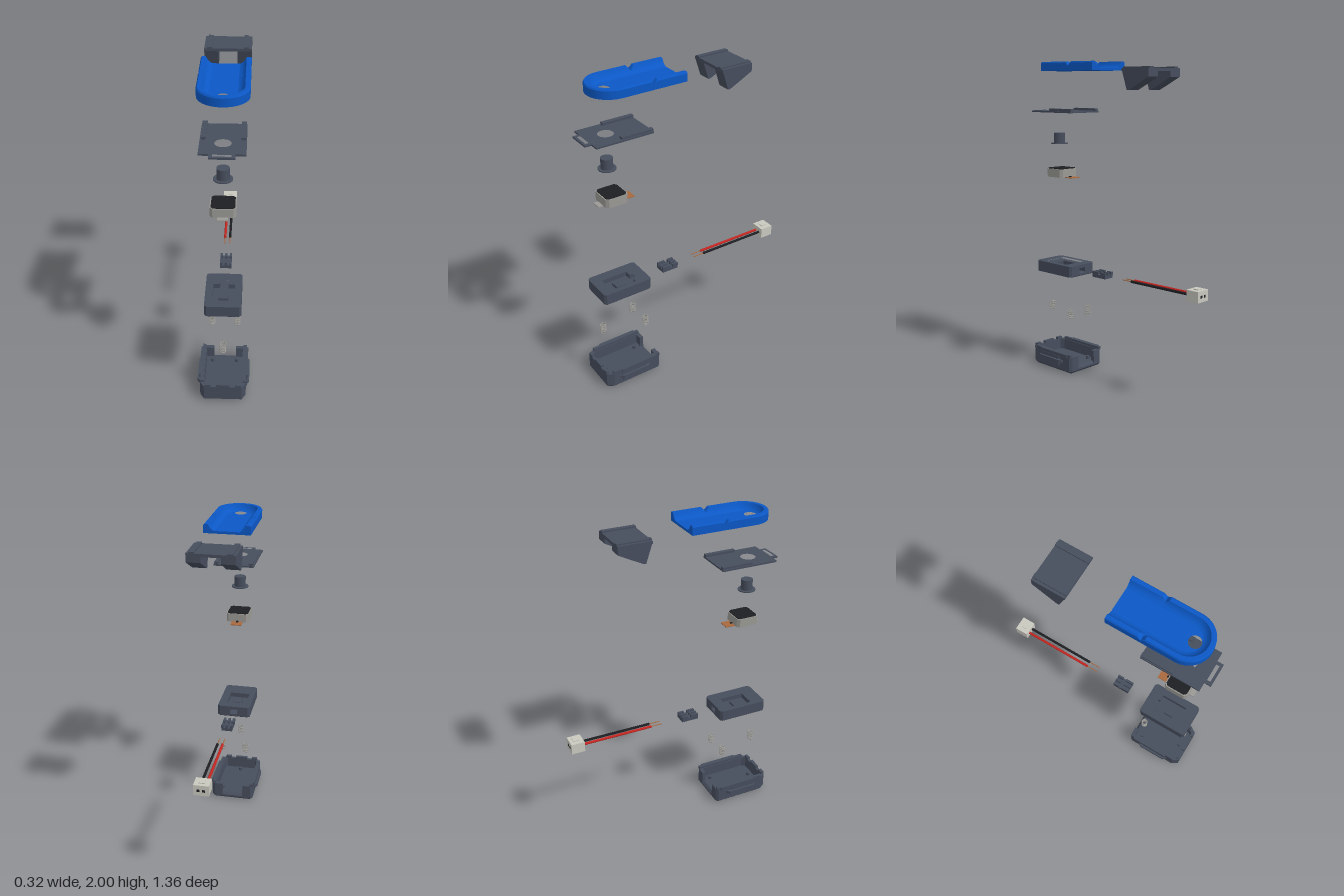
import * as THREE from 'three';
import { toCreasedNormals } from 'three/addons/utils/BufferGeometryUtils.js';

const paint = (name, color) => {
  const m = new THREE.MeshStandardMaterial({ color });
  m.name = name;
  return m;
};

export function createModel() {
  const root = new THREE.Group();
  root.name = 'explodedDevice';
  const blue = paint('blue', 0x0b58c6), dark = paint('slateGrey', 0x464d5c);
  const black = paint('black', 0x1d1e22), grey = paint('metalGrey', 0x9a9994);
  const cream = paint('cream', 0xc9c8bf), red = paint('red', 0xc4241f);
  const copper = paint('copper', 0xa8693f);

  const group = (name) => {
    const g = new THREE.Group();
    g.name = name;
    root.add(g);
    return g;
  };
  const add = (g, name, geo, mat) => {
    const m = new THREE.Mesh(geo, mat);
    m.name = name;
    g.add(m);
    return m;
  };
  // Box given by its minimum and maximum on each axis
  const box = (g, name, mat, x0, x1, y0, y1, z0, z1) =>
    add(g, name, new THREE.BoxGeometry(x1 - x0, y1 - y0, z1 - z0), mat)
      .position.set((x0 + x1) / 2, (y0 + y1) / 2, (z0 + z1) / 2);
  const cyl = (g, name, mat, r, y0, y1, x, z, n = 32) =>
    add(g, name, new THREE.CylinderGeometry(r, r, y1 - y0, n), mat).position.set(x, (y0 + y1) / 2, z);
  const rod = (g, name, mat, r, x, y, z0, z1) => {
    const geo = new THREE.CylinderGeometry(r, r, z1 - z0, 14).rotateX(Math.PI / 2);
    add(g, name, geo, mat).position.set(x, y, (z0 + z1) / 2);
  };
  // Outline in x and z, raised from y0 to y1
  const plan = (g, name, mat, pts, y0, y1, holes = [], bevel = 0) => {
    const v = (p) => p.map(([x, z]) => new THREE.Vector2(x, -z));
    const s = new THREE.Shape(v(pts));
    holes.forEach((h) => s.holes.push(new THREE.Path(v(h))));
    const geo = new THREE.ExtrudeGeometry(s, {
      depth: y1 - y0 - 2 * bevel, bevelEnabled: bevel > 0, bevelSize: bevel,
      bevelThickness: bevel, bevelOffset: -bevel, bevelSegments: 1,
    }).rotateX(-Math.PI / 2).translate(0, y0 + bevel, 0);
    add(g, name, toCreasedNormals(geo, 0.5), mat);
  };
  const circle = (r, x, z, n = 32) => Array.from({ length: n }, (_, i) => {
    const a = (i / n) * Math.PI * 2;
    return [x + r * Math.cos(a), z + r * Math.sin(a)];
  });
  const chamfered = (w, z0, z1, c) => [[w - c, z0], [w, z0 + c], [w, z1 - c], [w - c, z1],
    [c - w, z1], [-w, z1 - c], [-w, z0 + c], [c - w, z0]];
  const rect = (w, z0, z1) => [[w, z0], [w, z1], [-w, z1], [-w, z0]];

  // Blue top cover: a dished tray with a round front and a notch in each rim
  const cover = group('topCover');
  const outline = (d) => {
    const side = [0.07, 0.259, 0.28, 0.301].map((z) => [0.14 - d, z]);
    const arc = Array.from({ length: 33 }, (_, i) => {
      const a = (i / 32) * Math.PI;
      return [(0.14 - d) * Math.cos(a), 0.476 + (0.14 - d) * Math.sin(a)];
    });
    return [...side, ...arc, ...side.map(([x, z]) => [-x, z]).reverse()];
  };
  const profile = [[0, 1.945], [0, 1.992], [0.006, 2], [0.028, 2], [0.034, 1.987],
    [0.044, 1.973], [0.054, 1.965], [0.065, 1.96]];
  const rings = profile.map(([d, y]) => outline(d).map(([x, z]) =>
    [x, Math.min(y, 1.975 + Math.abs(z - 0.28) * 1.2), z]));
  const tri = [];
  for (let i = 0; i + 1 < rings.length; i++) {
    for (let j = 0; j + 1 < rings[i].length; j++) {
      const a = rings[i][j], b = rings[i + 1][j], c = rings[i][j + 1], d = rings[i + 1][j + 1];
      tri.push(...a, ...b, ...c, ...c, ...b, ...d);
    }
  }
  const rimGeo = new THREE.BufferGeometry();
  rimGeo.setAttribute('position', new THREE.Float32BufferAttribute(tri, 3));
  add(cover, 'coverRim', toCreasedNormals(rimGeo, 0.6), blue);
  plan(cover, 'coverFloor', blue, outline(0), 1.945, 1.96, [circle(0.036, 0, 0.515)]);
  for (const s of [-1, 1]) {
    const end = new THREE.Shape([...profile, [0.065, 1.945]]
      .map(([d, y]) => new THREE.Vector2(s * (0.14 - d), y)));
    add(cover, 'coverEnd', new THREE.ExtrudeGeometry(end, { depth: 0.005, bevelEnabled: false })
      .translate(0, 0, 0.07), blue);
  }

  // Rear bracket: railed deck on two wedge legs
  const bracket = group('rearBracket');
  box(bracket, 'bracketDeck', dark, -0.138, 0.138, 1.938, 1.955, -0.375, -0.17);
  const wedge = new THREE.Shape([[0.17, 1.95], [0.21, 1.83], [0.225, 1.83], [0.375, 1.905], [0.375, 1.95]]
    .map(([z, y]) => new THREE.Vector2(z, y)));
  for (const s of [-1, 1]) {
    const leg = new THREE.ExtrudeGeometry(wedge, { depth: 0.083, bevelEnabled: false })
      .rotateY(Math.PI / 2).translate(s * 0.0965 - 0.0415, 0, 0);
    add(bracket, 'bracketLeg', leg, dark);
    box(bracket, 'bracketRail', dark, s * 0.107 - 0.015, s * 0.107 + 0.015, 1.95, 1.963, -0.375, -0.168);
  }

  // Sliding plate with a button hole and a slotted front tongue
  const plate = group('slidePlate');
  plan(plate, 'plateSheet', dark, [[0.125, 0.28], [0.125, 0.64], [0.07, 0.64], [0.07, 0.68],
    [-0.07, 0.68], [-0.07, 0.64], [-0.125, 0.64], [-0.125, 0.28]], 1.685, 1.695,
  [circle(0.046, 0, 0.515), rect(0.05, 0.645, 0.665)]);
  for (const s of [-1, 1]) {
    box(plate, 'plateRail', dark, s * 0.107 - 0.009, s * 0.107 + 0.009, 1.69, 1.703, 0.28, 0.48);
    box(plate, 'railHook', dark, s * 0.107 - 0.014, s * 0.107 + 0.014, 1.702, 1.71, 0.28, 0.48);
  }

  // Push button
  const button = group('pushButton');
  cyl(button, 'buttonStem', dark, 0.036, 1.482, 1.55, 0, 0.517);
  cyl(button, 'buttonFlange', dark, 0.054, 1.48, 1.486, 0, 0.517);

  // Switch module with a solder tab
  const module = group('switchModule');
  plan(module, 'switchBody', grey, chamfered(0.073, 0.425, 0.57, 0.016), 1.268, 1.322);
  plan(module, 'switchTop', black, chamfered(0.067, 0.431, 0.564, 0.014), 1.32, 1.326);
  box(module, 'frontTab', grey, -0.03, 0.03, 1.265, 1.27, 0.56, 0.6);
  box(module, 'solderTab', copper, -0.035, 0.035, 1.266, 1.271, 0.365, 0.43);
  rod(module, 'tabPin', black, 0.008, 0, 1.269, 0.41, 0.428);

  // Middle frame: stepped pocket, cable opening and spring seats
  const frame = group('middleFrame');
  const outer = chamfered(0.108, 0.31, 0.635, 0.014);
  plan(frame, 'frameFloor', dark, outer, 0.633, 0.655, [], 0.004);
  plan(frame, 'frameWall', dark, [[0.025, 0.31], ...outer.slice(0, 7), [-0.094, 0.31], [-0.025, 0.31],
    [-0.025, 0.39], [-0.065, 0.39], [-0.065, 0.56], [0.065, 0.56], [0.065, 0.39], [0.025, 0.39]], 0.637, 0.685);
  plan(frame, 'frameTop', dark, outer, 0.685, 0.705, [rect(0.076, 0.38, 0.572)]);
  box(frame, 'pocketStep', dark, -0.03, 0.03, 0.65, 0.672, 0.45, 0.51);

  // Springs between frame and case, with their seats
  const springs = group('springs');
  for (const [x, z] of [[0, 0.605], [-0.078, 0.345], [0.078, 0.345]]) {
    cyl(frame, 'springSeat', black, 0.02, 0.631, 0.635, x, z, 20);
    const pts = Array.from({ length: 61 }, (_, i) => {
      const a = (i / 60) * Math.PI * 2 * 5;
      return new THREE.Vector3(x + 0.017 * Math.cos(a), 0.349 + 0.063 * i / 60, z + 0.017 * Math.sin(a));
    });
    add(springs, 'spring', new THREE.TubeGeometry(new THREE.CatmullRomCurve3(pts), 100, 0.0035, 6), grey);
  }

  // Cable clamp
  const clamp = group('cableClamp');
  box(clamp, 'clampBase', dark, -0.035, 0.035, 0.652, 0.672, 0.07, 0.18);
  for (const [z0, z1] of [[0.07, 0.108], [0.13, 0.18]]) {
    for (const x of [-0.029, 0, 0.029]) {
      box(clamp, 'clampPost', dark, x - 0.007, x + 0.007, 0.67, 0.69, z0, z1);
    }
  }

  // Cable with stripped ends and a plug
  const cable = group('cable');
  for (const [name, mat, x] of [['redWire', red, -0.016], ['blackWire', black, 0.016]]) {
    rod(cable, name, mat, 0.008, x, 0.67, -0.6, -0.14);
    rod(cable, 'strippedEnd', copper, 0.003, x, 0.67, -0.15, -0.068);
    box(cable, 'plugSocket', black, x - 0.008, x + 0.008, 0.662, 0.678, -0.681, -0.676);
  }
  box(cable, 'plugBody', cream, -0.046, 0.046, 0.638, 0.705, -0.68, -0.595);
  box(cable, 'plugLatch', cream, -0.017, 0.017, 0.7, 0.71, -0.657, -0.62);

  // Bottom case: open tray with a rear opening, notched front lip and side latches
  const lower = group('bottomCase');
  const half = [[0.125, 0.28], [0.14, 0.295], [0.14, 0.62], [0.115, 0.66]];
  const flip = (p) => p.map(([x, z]) => [-x, z]).reverse();
  plan(lower, 'caseFloor', dark, [...half, ...flip(half)], 0, 0.04, [], 0.014);
  const inner = [[0.1, 0.64], [0.115, 0.615], [0.115, 0.305], [0.07, 0.305]];
  plan(lower, 'caseWall', dark,
    [[0.07, 0.28], ...half, ...flip(half), [-0.07, 0.28], ...flip(inner), ...inner], 0.014, 0.11);
  for (const [a, b] of [[-0.112, -0.075], [-0.04, 0.04], [0.075, 0.112]]) {
    box(lower, 'frontLip', dark, a, b, 0.105, 0.125, 0.64, 0.66);
  }
  for (const s of [-1, 1]) {
    box(lower, 'sideLip', dark, s * 0.13 - 0.01, s * 0.13 + 0.01, 0.105, 0.125, 0.285, 0.62);
    box(lower, 'sideRail', dark, s * 0.141 - 0.009, s * 0.141 + 0.009, 0.103, 0.125, 0.31, 0.565);
    box(lower, 'latchPad', dark, s * 0.141 - 0.005, s * 0.141 + 0.005, 0.035, 0.1, 0.39, 0.56);
    plan(lower, 'latchBar', dark, [[s * 0.138, 0.35], [s * 0.16, 0.375], [s * 0.16, 0.555], [s * 0.138, 0.58]],
      0.06, 0.08);
  }
  for (const [x, z] of [[0, 0.605], [-0.078, 0.345], [0.078, 0.345]]) {
    cyl(lower, 'springPeg', dark, 0.012, 0.035, 0.06, x, z, 20);
  }
  return root;
}
